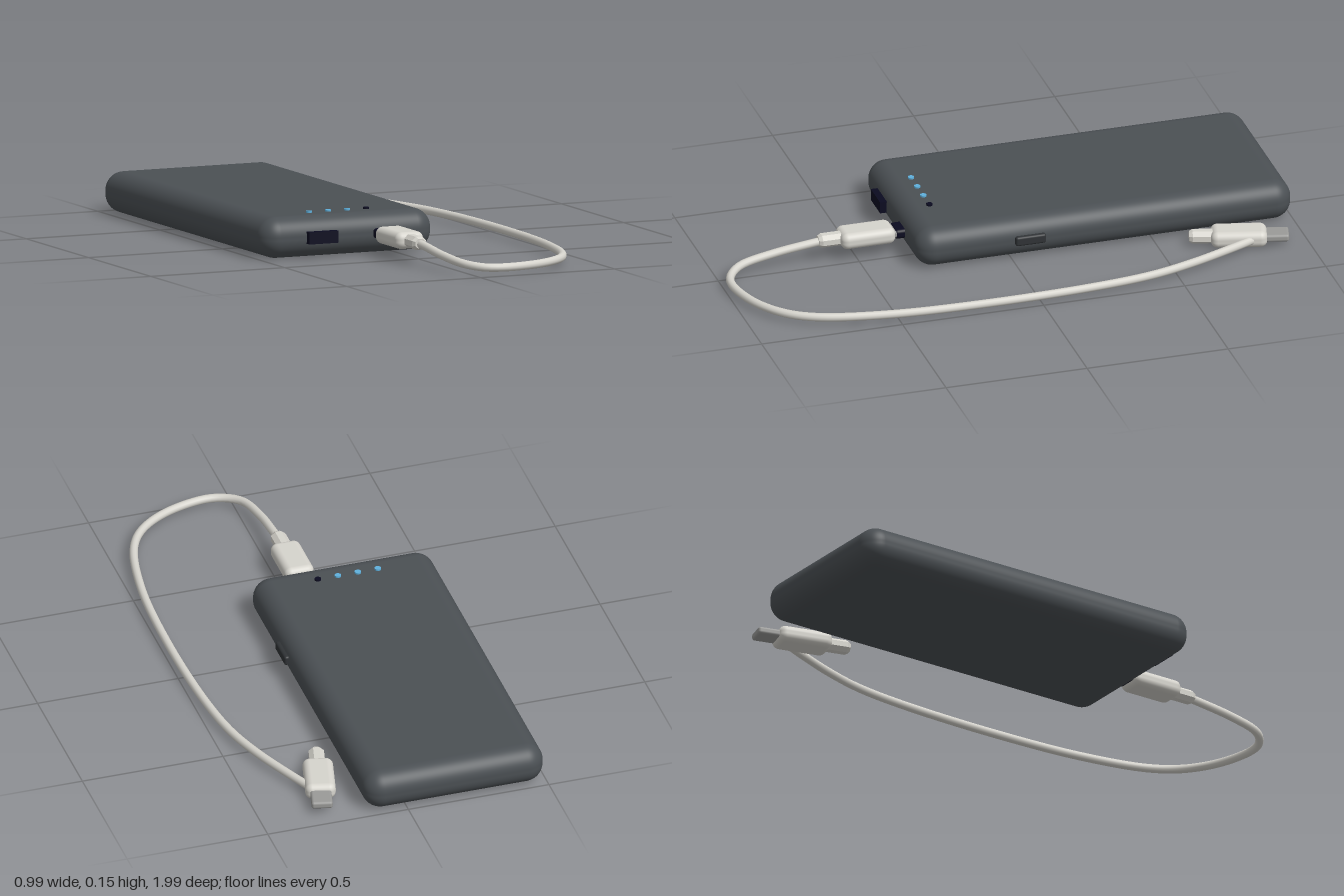
import * as THREE from 'three';
import { RoundedBoxGeometry } from 'three/addons/geometries/RoundedBoxGeometry.js';

const mat = (name, color) => new THREE.MeshStandardMaterial({ name, color });

export function createModel() {
  const charcoal = mat('charcoal', 0x4b5054);
  const darkGrey = mat('dark grey', 0x303336);
  const navy = mat('port navy', 0x0b0b20);
  const blue = mat('light blue', 0x5fb0dc);
  const ivory = mat('ivory', 0xd6d4cd);
  const metal = mat('metal', 0x9a9a98);

  const model = new THREE.Group();
  model.name = 'powerBankWithCable';

  const add = (parent, name, geometry, material, x, y, z) => {
    const mesh = new THREE.Mesh(geometry, material);
    mesh.name = name;
    mesh.position.set(x, y, z);
    parent.add(mesh);
    return mesh;
  };
  const rounded = (w, h, d, r, s = 4) => new RoundedBoxGeometry(w, h, d, s, r);

  // Battery case
  add(model, 'case', rounded(0.64, 0.141, 1.333, 0.065, 8), charcoal, -0.175, 0.0735, -0.3335);

  // Ports on the front end
  add(model, 'widePort', new THREE.BoxGeometry(0.108, 0.041, 0.06), navy, -0.285, 0.074, 0.325);
  add(model, 'smallPort', rounded(0.075, 0.034, 0.08, 0.012), navy, -0.053, 0.074, 0.328);

  // Side button
  add(model, 'sideButton', rounded(0.036, 0.034, 0.108, 0.008), darkGrey, 0.14, 0.075, -0.062);

  // Charge lights, the last one unlit
  for (let i = 0; i < 4; i++) {
    add(model, 'chargeLight' + (i + 1), new THREE.CylinderGeometry(0.011, 0.011, 0.01, 12),
      i < 3 ? blue : navy, -0.283 + i * 0.071, 0.145, 0.23);
  }

  // Connector: housing, tapered strain relief towards +z and metal plug towards -z
  const connector = (name) => {
    const group = new THREE.Group();
    group.name = name;
    add(group, 'housing', rounded(0.104, 0.058, 0.192, 0.024), ivory, 0, 0, 0);
    const profile = [[0, -0.05], [0.027, -0.05], [0.027, 0.022], [0.02, 0.034], [0, 0.034]]
      .map(([r, y]) => new THREE.Vector2(r, y));
    const relief = new THREE.LatheGeometry(profile, 8).toNonIndexed();
    relief.computeVertexNormals();
    relief.rotateY(Math.PI / 8);
    relief.rotateX(Math.PI / 2);
    relief.scale(1.05, 0.9, 1);
    add(group, 'strainRelief', relief, ivory, 0, 0, 0.135);
    add(group, 'plug', rounded(0.072, 0.026, 0.09, 0.009), metal, 0, 0, -0.125);
    model.add(group);
    return group;
  };
  connector('pluggedConnector').position.set(-0.053, 0.075, 0.462);
  const loose = connector('looseConnector');
  loose.position.set(0.244, 0.033, -0.77);
  loose.rotation.y = -0.245;

  // Cable looping around from one connector to the other
  const path = [
    [-0.053, 0.075, 0.60], [-0.05, 0.07, 0.66], [-0.045, 0.055, 0.79], [-0.02, 0.04, 0.915],
    [0.03, 0.032, 0.965], [0.095, 0.03, 0.98], [0.24, 0.029, 0.945], [0.35, 0.029, 0.87],
    [0.412, 0.029, 0.77], [0.463, 0.029, 0.53], [0.48, 0.029, 0.19], [0.468, 0.029, -0.185],
    [0.44, 0.029, -0.4], [0.395, 0.03, -0.555], [0.335, 0.031, -0.705], [0.285, 0.033, -0.82],
  ].map((p) => new THREE.Vector3(...p));
  add(model, 'cable', new THREE.TubeGeometry(new THREE.CatmullRomCurve3(path), 120, 0.0145, 12),
    ivory, 0, 0, 0);

  return model;
}
